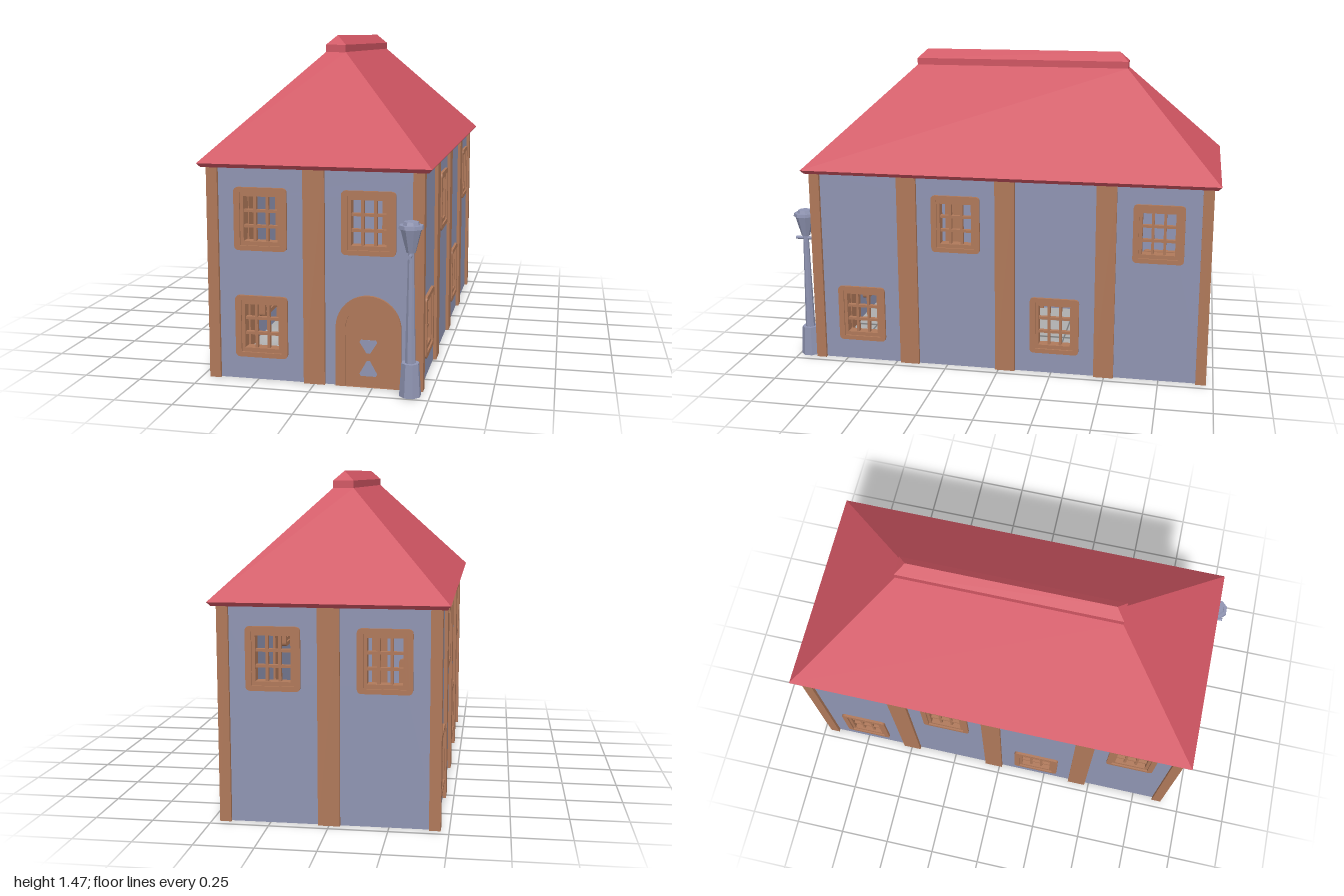
import * as THREE from 'three';

const mat = (name, color) => {
  const m = new THREE.MeshStandardMaterial({ color });
  m.name = name;
  return m;
};

export function createModel() {
  const plaster = mat('bluePlaster', 0x9095b3);
  const wood = mat('timber', 0xb0795a);
  const tile = mat('redTile', 0xd05562);
  tile.side = THREE.DoubleSide;

  const model = new THREE.Group();
  model.name = 'townHouse';
  const house = new THREE.Group();
  house.name = 'house';
  house.position.z = -0.032;
  model.add(house);

  const add = (parent, name, geo, material, x = 0, y = 0, z = 0) => {
    const mesh = new THREE.Mesh(geo, material);
    mesh.name = name;
    mesh.position.set(x, y, z);
    parent.add(mesh);
    return mesh;
  };
  const box = (w, h, d) => new THREE.BoxGeometry(w, h, d);
  // Extrusion whose front face lies at local z = front
  const slab = (shape, front, back) => {
    const g = new THREE.ExtrudeGeometry(shape, { depth: front - back, bevelEnabled: false, curveSegments: 10 });
    return g.translate(0, 0, back);
  };
  // Rectangle outline with optional rounded corners
  const rect = (w, h, r = 0, cx = 0, cy = 0, T = THREE.Shape) => {
    const s = new T(), a = w / 2, b = h / 2;
    s.moveTo(cx - a + r, cy - b);
    s.lineTo(cx + a - r, cy - b);
    if (r) s.quadraticCurveTo(cx + a, cy - b, cx + a, cy - b + r);
    s.lineTo(cx + a, cy + b - r);
    if (r) s.quadraticCurveTo(cx + a, cy + b, cx + a - r, cy + b);
    s.lineTo(cx - a + r, cy + b);
    if (r) s.quadraticCurveTo(cx - a, cy + b, cx - a, cy + b - r);
    s.lineTo(cx - a, cy - b + r);
    if (r) s.quadraticCurveTo(cx - a, cy - b, cx - a + r, cy - b);
    return s;
  };

  // Window: outer frame, recessed sash and glazing bars
  const outer = rect(0.23, 0.27, 0.022);
  outer.holes.push(rect(0.178, 0.228, 0, 0, 0, THREE.Path));
  const sash = rect(0.178, 0.228);
  sash.holes.push(rect(0.148, 0.192, 0, 0, 0, THREE.Path));
  const frameGeo = slab(outer, 0.012, -0.052);
  const sashGeo = slab(sash, 0.004, -0.044);
  const barV = box(0.012, 0.2, 0.02), barH = box(0.155, 0.012, 0.02);
  const addWindow = (wall, x, y) => {
    const win = new THREE.Group();
    win.name = 'window';
    win.position.set(x, y, 0);
    wall.add(win);
    add(win, 'windowFrame', frameGeo, wood);
    add(win, 'windowSash', sashGeo, wood);
    for (const s of [-1, 1]) {
      add(win, 'verticalBar', barV, wood, s * 0.027, 0, -0.015);
      add(win, 'horizontalBar', barH, wood, 0, s * 0.033, -0.015);
    }
  };

  // Wall: plaster sheet with openings, windows and upright timbers
  const H = 0.922, UP = 0.7, LOW = 0.234;
  const addWall = (name, width, dist, turn, windows, posts) => {
    const wall = new THREE.Group();
    wall.name = name;
    wall.rotation.y = turn;
    wall.position.set(Math.sin(turn) * dist, 0, Math.cos(turn) * dist);
    house.add(wall);
    const shape = rect(width, H, 0, 0, H / 2);
    for (const [x, y] of windows) shape.holes.push(rect(0.165, 0.21, 0, x, y, THREE.Path));
    add(wall, 'plasterPanel', slab(shape, 0, -0.02), plaster);
    for (const [x, y] of windows) addWindow(wall, x, y);
    for (const x of posts) add(wall, 'timberPost', box(0.092, H, 0.047), wood, x, H / 2, -0.0085);
    return wall;
  };
  const W = 0.9, L = 1.842;
  const sideWindows = [[-0.7, LOW], [-0.233, UP], [0.233, LOW], [0.7, UP]];
  const front = addWall('frontWall', W, L / 2, 0, [[-0.232, UP], [0.232, UP], [-0.232, LOW]], [0]);
  addWall('backWall', W, L / 2, Math.PI, [[-0.232, UP], [0.232, UP]], [0]);
  addWall('leftWall', L, W / 2, Math.PI / 2, sideWindows, [-0.465, 0, 0.465]);
  addWall('rightWall', L, W / 2, -Math.PI / 2, sideWindows, [-0.465, 0, 0.465]);
  for (const x of [-1, 1]) for (const z of [-1, 1]) {
    add(house, 'cornerPost', box(0.048, H, 0.048), wood, x * 0.441, H / 2, z * 0.912);
  }

  // Arched door
  const arch = (r, T = THREE.Shape) => {
    const s = new T();
    s.moveTo(-r, 0);
    s.lineTo(r, 0);
    s.lineTo(r, 0.256);
    s.absarc(0, 0.256, r, 0, Math.PI, false);
    s.lineTo(-r, 0);
    return s;
  };
  const door = new THREE.Group();
  door.name = 'door';
  door.position.x = 0.232;
  front.add(door);
  const surround = arch(0.139);
  surround.holes.push(arch(0.097, THREE.Path));
  add(door, 'doorSurround', slab(surround, 0.013, -0.05), wood);
  add(door, 'doorLeaf', slab(arch(0.097), 0.005, -0.04), wood);
  // Tapered door panels on both faces
  for (const [y0, y1, w0, w1] of [[0.147, 0.205, 0.014, 0.038], [0.048, 0.115, 0.038, 0.012]]) {
    const s = new THREE.Shape();
    s.moveTo(-w0, y0 + 0.01);
    s.lineTo(-w0 + 0.006, y0);
    s.lineTo(w0 - 0.006, y0);
    s.lineTo(w0, y0 + 0.01);
    s.lineTo(w1, y1 - 0.01);
    s.lineTo(w1 - 0.006, y1);
    s.lineTo(-w1 + 0.006, y1);
    s.lineTo(-w1, y1 - 0.01);
    add(door, 'doorPanelFront', slab(s, 0.007, 0.003), plaster);
    add(door, 'doorPanelBack', slab(s, -0.038, -0.042), plaster);
  }

  // Hipped solid from rectangular levels [y, half width, half length]
  const hipped = (levels) => {
    const rings = levels.map(([y, x, z]) => [[x, y, z], [x, y, -z], [-x, y, -z], [-x, y, z]]);
    const p = [];
    const quad = (a, b, c, d) => p.push(...a, ...b, ...c, ...a, ...c, ...d);
    for (let k = 0; k < rings.length - 1; k++) {
      const lo = rings[k], hi = rings[k + 1];
      for (let i = 0; i < 4; i++) {
        const j = (i + 1) % 4;
        quad(lo[i], lo[j], hi[j], hi[i]);
      }
    }
    const b = rings[0];
    quad(b[0], b[3], b[2], b[1]);
    const g = new THREE.BufferGeometry();
    g.setAttribute('position', new THREE.Float32BufferAttribute(p, 3));
    g.computeVertexNormals();
    return g;
  };
  add(house, 'roof', hipped([[0.918, 0.483, 0.951], [0.935, 0.497, 0.965], [1.39, 0.045, 0.513]]), tile);
  add(house, 'ridgeCap', hipped([[1.388, 0.045, 0.514], [1.422, 0.045, 0.514], [1.465, 0, 0.472]]), tile);

  // Octagonal street lamp
  const lamp = new THREE.Group();
  lamp.name = 'streetLamp';
  lamp.position.set(0.418, 0, 0.951);
  model.add(lamp);
  const k = 1 / Math.cos(Math.PI / 8);
  const lampParts = [
    ['lampBase', 0, 0.14, 0.043, 0.035],
    ['lampPole', 0.14, 0.605, 0.021, 0.012],
    ['lantern', 0.6, 0.698, 0.018, 0.042],
    ['lanternRim', 0.698, 0.713, 0.049, 0.047],
    ['lanternCap', 0.713, 0.727, 0.033, 0.028],
  ];
  for (const [name, y0, y1, r0, r1] of lampParts) {
    const g = new THREE.CylinderGeometry(r1 * k, r0 * k, y1 - y0, 8).rotateY(Math.PI / 8).toNonIndexed();
    g.computeVertexNormals();
    add(lamp, name, g, plaster, 0, (y0 + y1) / 2, 0);
  }
  const bar = new THREE.CylinderGeometry(0.008, 0.008, 0.096, 8).rotateX(Math.PI / 2);
  add(lamp, 'lampCrossbar', bar, plaster, 0, 0.588, 0);

  return model;
}
